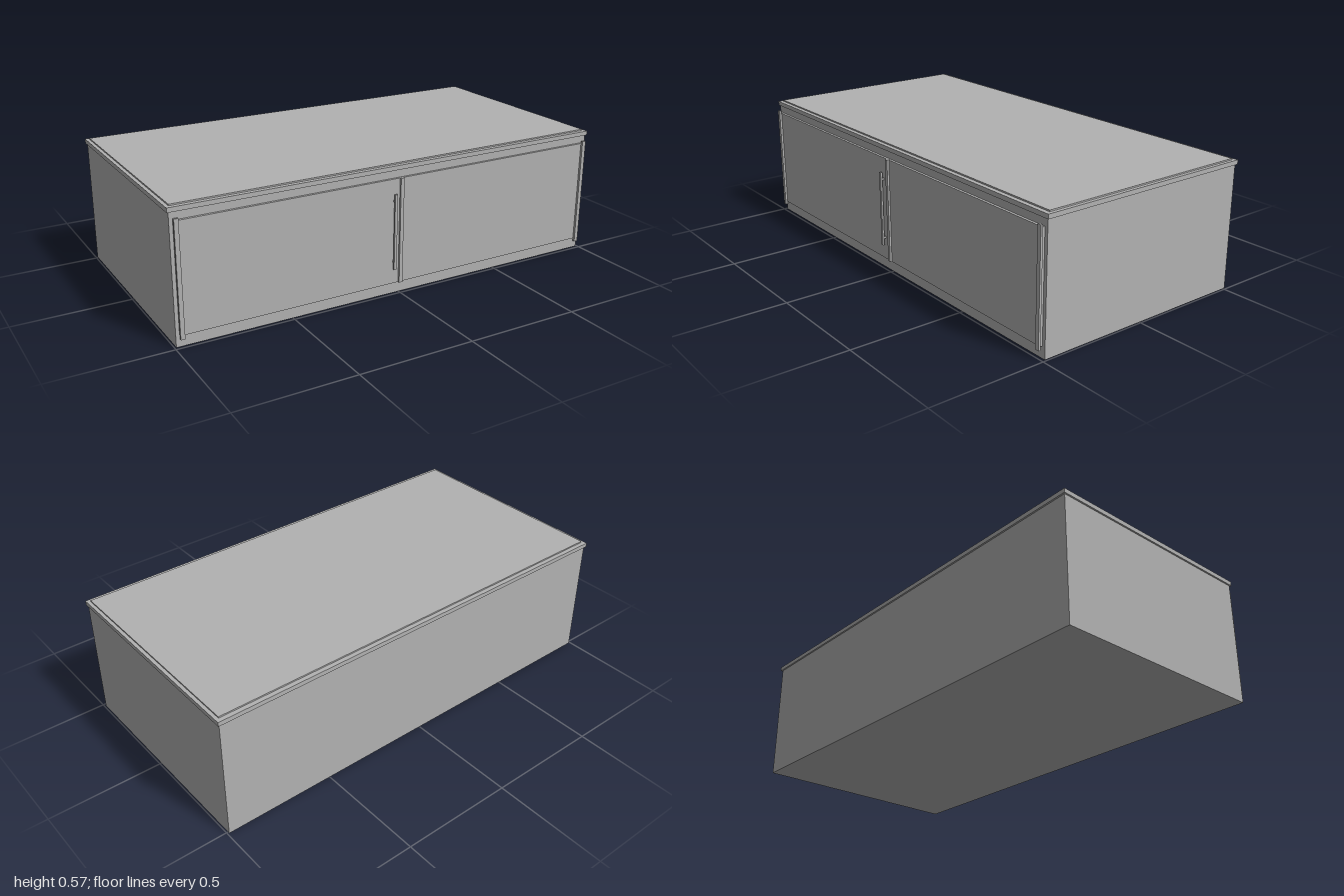
import * as THREE from 'three';

export function createModel() {
  const model = new THREE.Group();
  model.name = 'lowCabinet';
  const grey = new THREE.MeshStandardMaterial({ color: 0xb2b2b2 });
  grey.name = 'plain grey';

  // Box given by its lower and upper limits on each axis
  function box(name, [x0, x1], [y0, y1], [z0, z1]) {
    const mesh = new THREE.Mesh(new THREE.BoxGeometry(x1 - x0, y1 - y0, z1 - z0), grey);
    mesh.position.set((x0 + x1) / 2, (y0 + y1) / 2, (z0 + z1) / 2);
    mesh.name = name;
    model.add(mesh);
  }

  // Carcass, overhanging top and thin inset panel
  box('carcass', [-0.993, 0.993], [0, 0.543], [-0.509, 0.486]);
  box('topSlab', [-1, 1], [0.543, 0.562], [-0.516, 0.491]);
  box('topPanel', [-0.985, 0.985], [0.562, 0.568], [-0.496, 0.472]);

  // Two sliding doors, meeting at the middle
  box('rightDoor', [-0.978, -0.001], [0.05, 0.51], [0.486, 0.497]);
  box('leftDoor', [0.001, 0.978], [0.05, 0.51], [0.486, 0.497]);
  box('centreStrip', [-0.01, 0.006], [0.05, 0.51], [0.497, 0.506]);

  // Upright trims at both ends of the front
  for (const [name, side] of [['leftTrim', 1], ['rightTrim', -1]]) {
    const x = side * 0.972;
    box(name, [x - 0.009, x + 0.009], [0.037, 0.521], [0.497, 0.507]);
  }

  // Upright bar handle with two short posts
  box('handle', [-0.043, -0.031], [0.118, 0.448], [0.508, 0.516]);
  for (const y of [0.15, 0.416]) {
    box('handlePost', [-0.04, -0.034], [y - 0.004, y + 0.004], [0.497, 0.508]);
  }
  return model;
}
